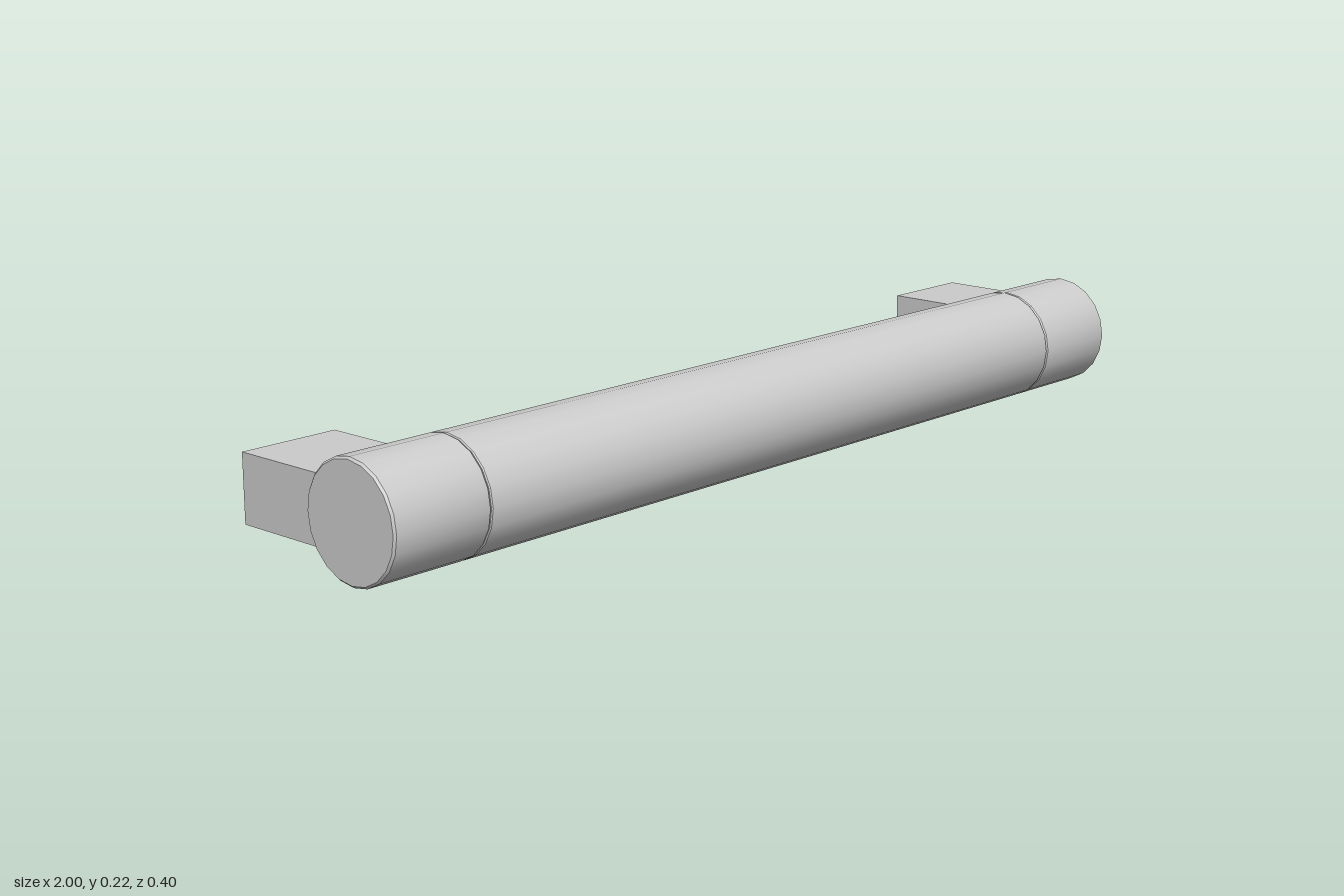
import * as THREE from 'three';
import { toCreasedNormals } from 'three/addons/utils/BufferGeometryUtils.js';

const RADIUS = 0.111, AXIS_Y = 0.111, AXIS_Z = 0.09, SIDES = 20;
const SEAM_X = 0.79, BEVEL = 0.004;
const material = new THREE.MeshStandardMaterial({ color: 0xcccccc });

// Round bar section along x with tiny bevelled rims
function barSection(name, x0, x1, bevel) {
  const points = [
    [0, x0], [RADIUS - bevel, x0], [RADIUS, x0 + bevel],
    [RADIUS, x1 - bevel], [RADIUS - bevel, x1], [0, x1],
  ].map(([r, x]) => new THREE.Vector2(r, x));
  const geometry = new THREE.LatheGeometry(points, SIDES).rotateZ(-Math.PI / 2);
  const mesh = new THREE.Mesh(toCreasedNormals(geometry, Math.PI / 6), material);
  mesh.name = name;
  mesh.position.set(0, AXIS_Y, AXIS_Z);
  return mesh;
}

// Square standoff reaching back from the bar
function mountingPost(name, side) {
  const back = -0.2, front = 0.06;
  const mesh = new THREE.Mesh(new THREE.BoxGeometry(0.2, 0.128, front - back), material);
  mesh.name = name;
  mesh.position.set(side * 0.89, AXIS_Y + 0.001, (front + back) / 2);
  return mesh;
}

export function createModel() {
  const group = new THREE.Group();
  group.name = 'barHandle';

  // Grip between the two seams
  group.add(barSection('grip', -SEAM_X, SEAM_X, 0.002));

  // Mirrored end sections and posts
  for (const [label, side] of [['left', 1], ['right', -1]]) {
    const [x0, x1] = [side * SEAM_X, side].sort((a, b) => a - b);
    group.add(barSection(label + 'EndSection', x0, x1, BEVEL));
    group.add(mountingPost(label + 'MountingPost', side));
  }
  return group;
}
